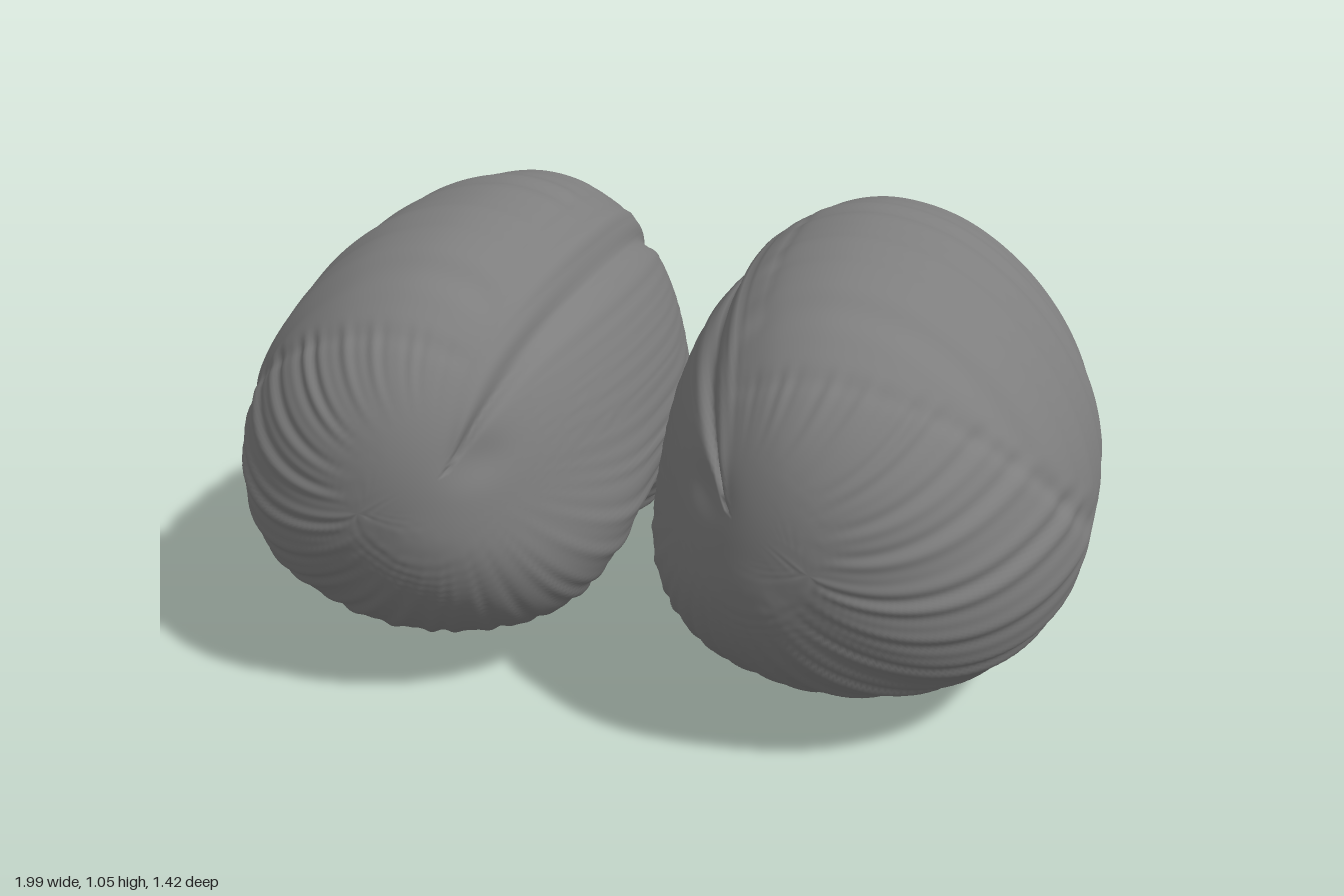
import * as THREE from 'three';
import { mergeVertices } from 'three/addons/utils/BufferGeometryUtils.js';

const AROUND = 260, ALONG = 120;
const HALF = 0.71;
const ROUND = 0.89; // below 1 the pod is a little fuller than an ellipsoid
const CORE = new THREE.Vector2(0.48, 0.53);

// middle cross-section of one pod, counter-clockwise seen from +z
const OUTLINE = [
  [0.995, 0.45], [0.965, 0.62], [0.885, 0.78], [0.76, 0.92], [0.61, 1.015], [0.45, 1.05],
  [0.33, 1.03], [0.25, 0.985], [0.18, 0.92], [0.115, 0.83], [0.065, 0.72], [0.03, 0.58], [0.005, 0.35],
  [0.04, 0.23], [0.13, 0.12], [0.28, 0.05], [0.47, 0.02], [0.68, 0.045], [0.84, 0.125], [0.93, 0.22], [0.98, 0.33],
];

const bell = (d, w) => Math.exp(-(d * d) / (w * w));
const step = THREE.MathUtils.smoothstep;
const angleGap = (a, b) => Math.atan2(Math.sin(a - b), Math.cos(a - b));

// uneven ripple, roughly -1..1
const ripple = (t, f) =>
  0.6 * Math.sin(f * t + 0.9 * Math.sin(f * 0.23 * t)) + 0.4 * Math.sin(f * 1.63 * t + 1.3);

// height of folds and creases at a point of the pod; s is 0 at the ends, 1 at the middle
function relief(x, y, z, s) {
  const phi = Math.atan2(y - 0.62, x - 0.3); // folds gather at the dimples
  const spread = step(Math.hypot(x - 0.3, y - 0.62), 0.08, 0.5);
  const outer = step(Math.cos(phi - 0.35), 0.2, 0.4);
  const bowl = y - (0.42 + 1.4 * z * z);
  const dome = step(bowl, -0.03, 0.1) * outer;
  let h = dome * 0.005 * ripple(z + 0.03, 40);                          // ribs over the dome
  h -= 0.006 * bell(bowl, 0.035) * outer * step(s, 0.5, 0.9);           // bowl-shaped fold below them
  h += (1 - dome) * spread * 0.005 * ripple(phi + 0.5 * (1 - s), 42);   // long sweeping folds
  h -= 0.018 * bell(angleGap(phi, 2.03), 0.1) * step(s, 0.2, 0.6);      // seam under the dome rim
  h += 0.006 * bell(angleGap(phi, 1.8), 0.12) * step(s, 0.3, 0.6);      // rim beside the seam
  h -= 0.012 * bell(angleGap(phi, -0.85), 0.18) * spread * step(0.95 - s, 0, 0.4);
  return h;
}

function podGeometry(side) {
  const curve = new THREE.CatmullRomCurve3(
    OUTLINE.map(([x, y]) => new THREE.Vector3(x, y, 0)), true);
  const ring = curve.getSpacedPoints(AROUND);
  ring[AROUND].copy(ring[0]);
  const pos = [], index = [];
  for (let j = 0; j <= ALONG; j++) {
    const v = (j / ALONG) * Math.PI;
    const c = Math.cos(v);
    const s = j % ALONG ? Math.pow(Math.sin(v), ROUND) : 0;
    const z0 = -HALF * Math.sign(c) * Math.pow(Math.abs(c), ROUND);
    for (let i = 0; i <= AROUND; i++) {
      const p = ring[i];
      let x = CORE.x + (p.x - CORE.x) * s;
      let y = CORE.y + (p.y - CORE.y) * s;
      let z = z0;
      // push along the outward direction
      const out = new THREE.Vector3((x - CORE.x) / 0.25, (y - CORE.y) / 0.27, z / 0.5).normalize();
      const h = relief(x, y, z, s);
      const dimple = -0.02 * bell(Math.hypot(x - 0.24, y - 0.64), 0.05);
      x += out.x * h;
      y += out.y * h;
      z += out.z * (h + dimple);
      // hollow in the lower inner flank
      const hollow = bell(z, 0.22) * bell(Math.hypot(x - 0.13, y - 0.17), 0.24);
      x += 0.07 * hollow;
      y += 0.08 * hollow;
      // underside sags toward the back
      y -= 0.033 * bell(z + 0.3, 0.18) * step(0.3 - y, 0, 0.25);
      pos.push(side * x, y, z);
    }
  }
  const w = AROUND + 1;
  for (let j = 0; j < ALONG; j++) {
    for (let i = 0; i < AROUND; i++) {
      const a = j * w + i, b = a + 1, d = a + w, e = d + 1;
      const tris = [];
      if (j > 0) tris.push([a, b, e]);
      if (j < ALONG - 1) tris.push([a, e, d]);
      for (const [p, q, r] of tris) {
        if (side > 0) index.push(p, q, r);
        else index.push(p, r, q);
      }
    }
  }
  const geo = new THREE.BufferGeometry();
  geo.setAttribute('position', new THREE.Float32BufferAttribute(pos, 3));
  geo.setIndex(index);
  const welded = mergeVertices(geo, 1e-5);
  welded.computeVertexNormals();
  return welded;
}

export function createModel() {
  const model = new THREE.Group();
  model.name = 'wrinkledPods';
  const material = new THREE.MeshStandardMaterial({ color: 0x7e7e7e });
  for (const [name, side] of [['leftPod', 1], ['rightPod', -1]]) {
    const pod = new THREE.Mesh(podGeometry(side), material);
    pod.name = name;
    model.add(pod);
  }
  return model;
}
